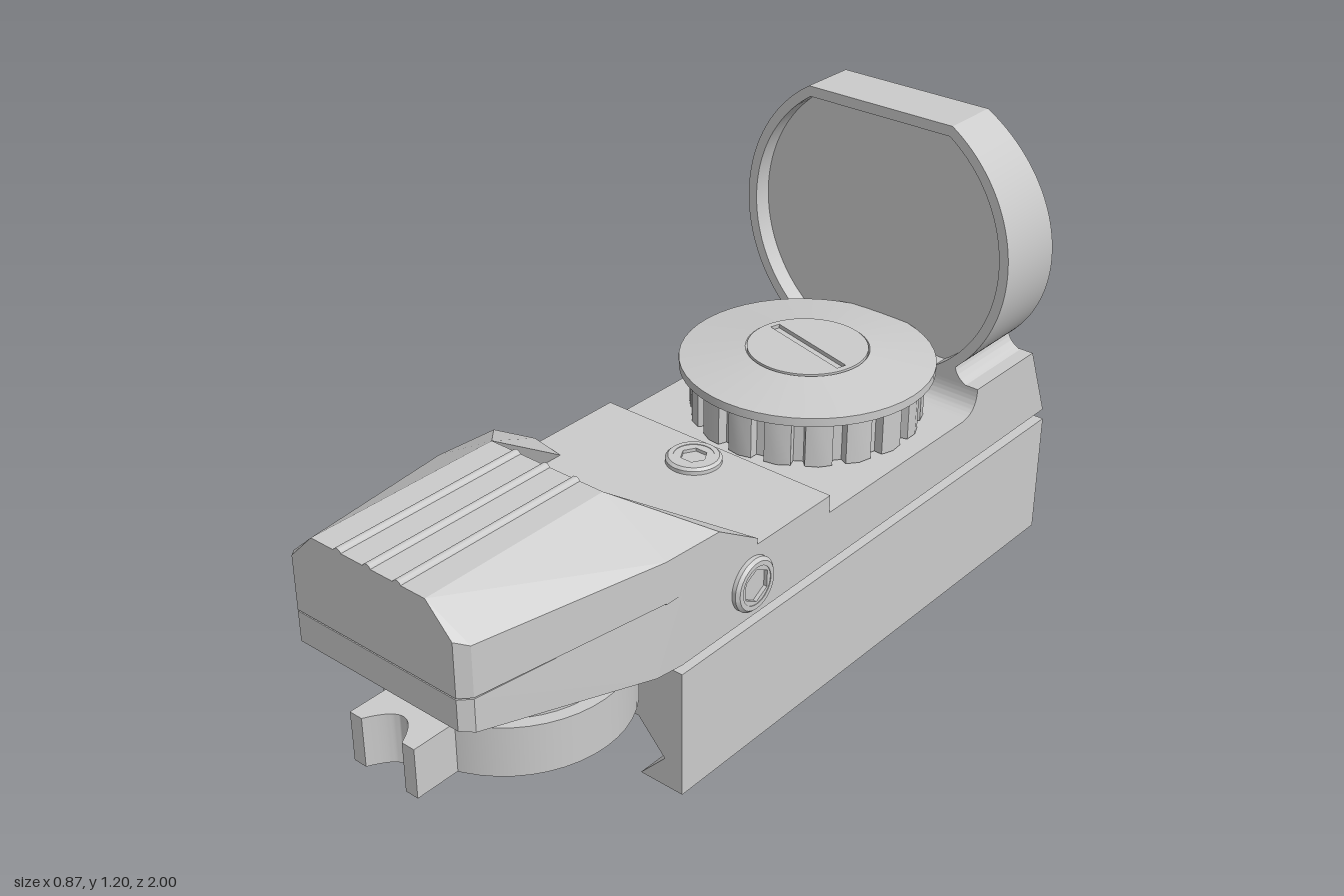
import * as THREE from 'three';
import { toCreasedNormals } from 'three/addons/utils/BufferGeometryUtils.js';
import { ConvexGeometry } from 'three/addons/geometries/ConvexGeometry.js';

const CX = 0.05; // centre line of the sight body
const material = new THREE.MeshStandardMaterial({ color: 0xcccccc });

function add(parent, name, geometry, x = 0, y = 0, z = 0) {
  const mesh = new THREE.Mesh(geometry, material);
  mesh.name = name;
  mesh.position.set(x, y, z);
  parent.add(mesh);
  return mesh;
}

const shapeOf = (pts) => new THREE.Shape(pts.map((p) => new THREE.Vector2(p[0], p[1])));
const extrude = (shape, depth) =>
  toCreasedNormals(new THREE.ExtrudeGeometry(shape, { depth, bevelEnabled: false, curveSegments: 32 }), 0.6);
// Extrude upwards from an outline in (x, z)
const slab = (shape, height) => extrude(shape, height).rotateX(Math.PI / 2).translate(0, height, 0);
const hull = (pts) => new ConvexGeometry(pts.map((p) => new THREE.Vector3(...p)));
// Both sides of the centre line
const bothSides = (pts) => pts.flatMap(([x, y, z]) => [[CX + x, y, z], [CX - x, y, z]]);
const lathe = (pts) =>
  toCreasedNormals(new THREE.LatheGeometry(pts.map((p) => new THREE.Vector2(p[0], p[1])), 48), 0.4);

function ngon(r, n) {
  return Array.from({ length: n }, (_, i) => {
    const a = (i / n) * Math.PI * 2;
    return new THREE.Vector2(Math.cos(a) * r, Math.sin(a) * r);
  });
}

// Round screw head along +y with a chamfered rim and a hexagonal socket
function socketHead(name, r, h, hexR) {
  const g = new THREE.Group();
  g.name = name;
  const c = Math.min(r * 0.12, h * 0.4), inner = r * 0.72, sink = Math.min(h * 0.6, 0.05);
  add(g, name + 'Body', lathe([[0, 0], [r, 0], [r, h - c], [r - c, h], [inner, h], [inner, h - sink], [0, h - sink]]));
  const face = new THREE.Shape().absarc(0, 0, inner, 0, Math.PI * 2);
  face.holes.push(new THREE.Path(ngon(hexR, 6)));
  add(g, name + 'Socket', slab(face, sink * 0.85), 0, h - sink, 0);
  return g;
}

function buildMount(root) {
  const mount = new THREE.Group();
  mount.name = 'railMount';
  root.add(mount);
  add(mount, 'railBody', extrude(shapeOf([[0.38, 0], [0.38, 0.325], [-0.22, 0.325], [-0.22, 0.155],
    [0.255, 0.155], [0.33, 0.075], [0.26, 0]]), 1.44), 0, 0, -0.99);
  add(mount, 'clampPlate', extrude(shapeOf([[-0.28, 0], [-0.155, 0], [-0.226, 0.075], [-0.226, 0.305],
    [-0.28, 0.305]]), 1.45), 0, 0, -1);
  add(mount, 'rearSpacer', new THREE.BoxGeometry(0.6, 0.04, 0.29), CX, 0.337, -0.765);
  // Cross bolts with their clamp knobs
  for (const [y, z] of [[0.178, 0.245], [0.11, -0.87]]) {
    add(mount, 'crossBolt', new THREE.CylinderGeometry(0.036, 0.036, 0.68, 24).rotateZ(Math.PI / 2), 0.01, y, z);
    const knob = socketHead('clampKnob', 0.1, 0.12, 0.055);
    knob.rotation.z = Math.PI / 2;
    knob.position.set(-0.32, y, z);
    mount.add(knob);
  }
}

function buildBody(root) {
  // Side profile in (-z, y), swept across the width
  const side = shapeOf([[-0.45, 0.35], [0.985, 0.355], [0.905, 0.55], [0.655, 0.55]]);
  side.quadraticCurveTo(0.655, 0.485, 0.59, 0.485);
  side.lineTo(0.06, 0.485);
  side.lineTo(0.06, 0.53);
  side.lineTo(-0.45, 0.53);
  add(root, 'sightBody', extrude(side, 0.66).rotateY(Math.PI / 2), CX - 0.33, 0, 0);
  // Tapered nose
  add(root, 'nose', hull(bothSides([[0.33, 0.53, 0.45], [0.33, 0.35, 0.45], [0.32, 0.35, 0.52],
    [0.254, 0.53, 0.975], [0.254, 0.45, 0.975], [0.23, 0.53, 1], [0.23, 0.455, 1]])));
  // Screws on the deck and both sides
  const deck = socketHead('deckScrew', 0.066, 0.016, 0.032);
  deck.position.set(CX, 0.53, 0.02);
  root.add(deck);
  for (const s of [-1, 1]) {
    const screw = socketHead('sideScrew', 0.066, 0.018, 0.042);
    screw.rotation.z = -s * Math.PI / 2;
    screw.position.set(CX + s * 0.329, 0.44, 0.22);
    root.add(screw);
  }
}

function buildHood(root) {
  const hood = new THREE.Group();
  hood.name = 'emitterHood';
  root.add(hood);
  add(hood, 'hoodBlock', hull(bothSides([[0.33, 0.533, 0.47], [0.33, 0.635, 0.47], [0.16, 0.735, 0.5],
    [0.254, 0.533, 0.975], [0.254, 0.655, 0.975], [0.23, 0.533, 1], [0.23, 0.665, 1], [0.162, 0.735, 1]]
    .map(([x, y, z]) => [x, y, z === 0.47 ? 0.5 : z]))));
  // Sloping cheeks that frame the open rear
  for (const s of [-1, 1]) {
    add(hood, 'hoodCheek', hull([[0.33, 0.53, 0.2], [0.33, 0.545, 0.2], [0.33, 0.625, 0.33], [0.33, 0.635, 0.5],
      [0.33, 0.53, 0.5], [0.16, 0.735, 0.5], [0.25, 0.53, 0.2], [0.25, 0.53, 0.5]]
      .map(([x, y, z]) => [CX + s * x, y, z])));
  }
  for (const x of [-0.085, 0, 0.085]) {
    add(hood, 'gripRib', new THREE.CylinderGeometry(0.012, 0.012, 0.5, 12).rotateX(Math.PI / 2), CX + x, 0.731, 0.75);
  }
}

function buildBatteryDial(root) {
  const dial = new THREE.Group();
  dial.name = 'selectorDial';
  dial.position.set(CX, 0, 0.63);
  root.add(dial);
  add(dial, 'dialNeck', new THREE.CylinderGeometry(0.245, 0.245, 0.1, 48), 0, 0.385, 0);
  add(dial, 'dialDisc', new THREE.CylinderGeometry(0.275, 0.275, 0.125, 48), 0, 0.2775, 0);
  // Pointer tab with a scalloped front
  const tab = shapeOf([[-0.095, 0.2], [-0.095, 0.37], [-0.06, 0.37]]);
  tab.quadraticCurveTo(0, 0.25, 0.06, 0.37);
  tab.lineTo(0.095, 0.37);
  tab.lineTo(0.095, 0.2);
  add(dial, 'dialTab', slab(tab, 0.125), 0, 0.215, 0);
}

function buildTurret(root) {
  const turret = new THREE.Group();
  turret.name = 'adjustmentTurret';
  turret.position.set(CX, 0, -0.405);
  root.add(turret);
  // Notched grip ring
  const pts = [], n = 18;
  for (let i = 0; i < n; i++) {
    for (const [f, r] of [[0, 0.28], [0.33, 0.285], [0.66, 0.28], [0.7, 0.258], [0.96, 0.258]]) {
      const a = ((i + f) / n) * Math.PI * 2;
      pts.push([Math.cos(a) * r, Math.sin(a) * r]);
    }
  }
  add(turret, 'gripRing', slab(shapeOf(pts), 0.11), 0, 0.488, 0);
  add(turret, 'turretCap', lathe([[0, 0.59], [0.265, 0.59], [0.265, 0.61], [0.31, 0.61], [0.31, 0.632],
    [0.15, 0.655], [0.145, 0.648], [0, 0.648]]));
  // Centre disc with a coin slot
  const disc = new THREE.Shape().absarc(0, 0, 0.146, 0, Math.PI * 2);
  const rot = (x, z) => new THREE.Vector2(x * 0.966 - z * 0.259, x * 0.259 + z * 0.966);
  disc.holes.push(new THREE.Path([rot(-0.13, -0.013), rot(0.13, -0.013), rot(0.13, 0.013), rot(-0.13, 0.013)]));
  add(turret, 'slottedDisc', slab(disc, 0.016), 0, 0.642, 0);
}

function buildLens(root) {
  const lens = new THREE.Group();
  lens.name = 'lensHousing';
  root.add(lens);
  const cy = 0.87;
  // Round outline with a flat top, flaring into the body at the foot
  const a0 = -0.82, a1 = 1.005, r = 0.385;
  const outer = shapeOf([[-0.33, 0.5], [0.33, 0.5], [0.33, 0.54]]);
  outer.quadraticCurveTo(0.27, 0.55, r * Math.cos(a0), cy + r * Math.sin(a0));
  outer.absarc(0, cy, r, a0, a1);
  outer.absarc(0, cy, r, Math.PI - a1, Math.PI - a0);
  outer.quadraticCurveTo(-0.27, 0.55, -0.33, 0.54);
  // Window, flat at top and bottom
  const windowPath = (P) => {
    const b = 0.98;
    return new P().absarc(0, cy, 0.36, -b, b).absarc(0, cy, 0.36, Math.PI - b, Math.PI + b).closePath();
  };
  outer.holes.push(windowPath(THREE.Path));
  const frame = new THREE.ExtrudeGeometry(outer, { depth: 1, bevelEnabled: false, curveSegments: 32 });
  // Lean the rear face so the rim thins towards the top
  const p = frame.attributes.position;
  for (let i = 0; i < p.count; i++) {
    const back = -0.805 - (1.19 - p.getY(i)) * 0.15;
    p.setZ(i, p.getZ(i) > 0.5 ? -0.655 : back);
  }
  add(lens, 'lensFrame', toCreasedNormals(frame, 0.5), CX, 0, 0);
  add(lens, 'lensGlass', extrude(windowPath(THREE.Shape), 0.012), CX, 0, -0.715);
}

export function createModel() {
  const root = new THREE.Group();
  root.name = 'reflexSight';
  buildMount(root);
  buildBody(root);
  buildHood(root);
  buildBatteryDial(root);
  buildTurret(root);
  buildLens(root);
  return root;
}
